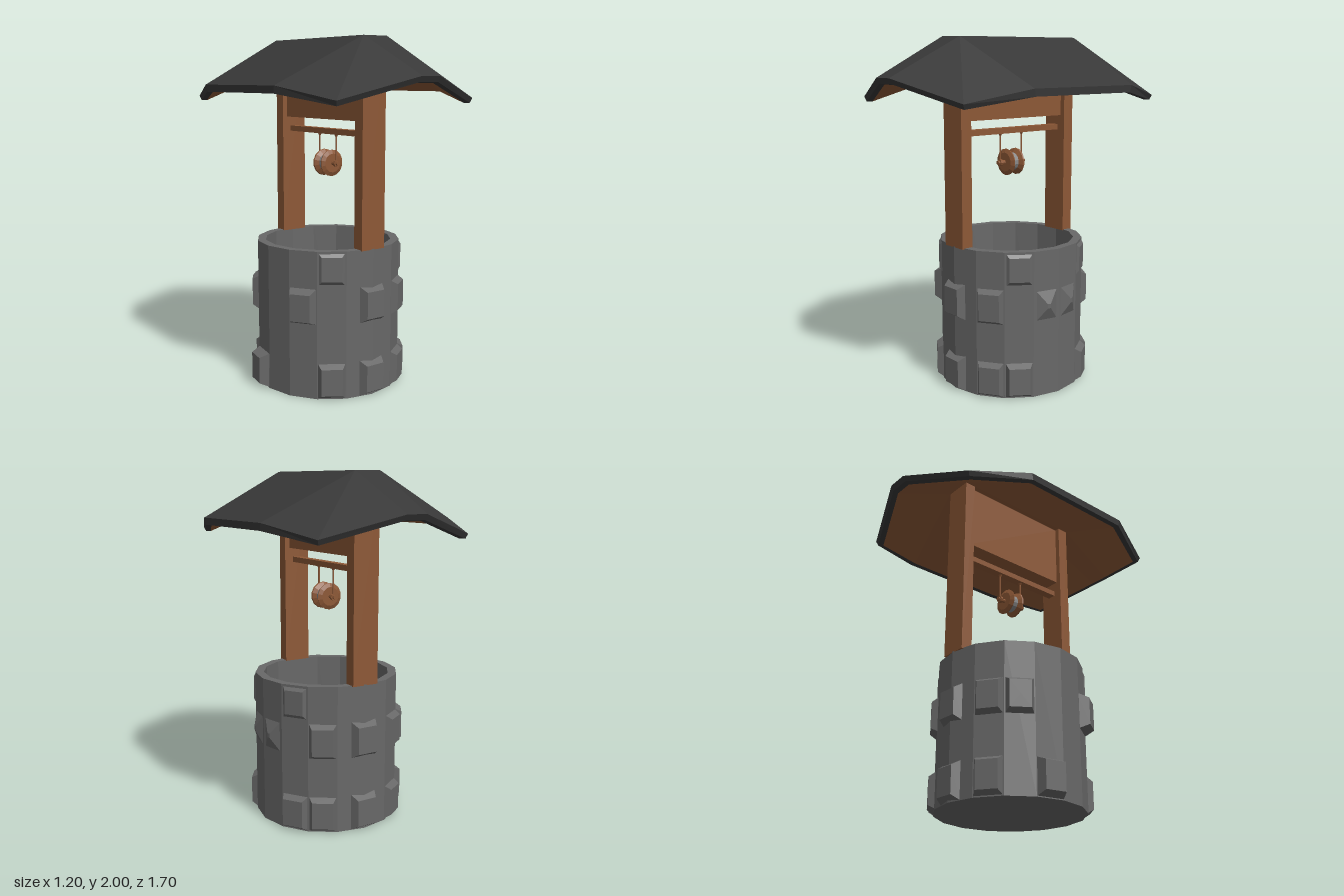
import * as THREE from 'three';

const mat = (color) => new THREE.MeshStandardMaterial({ color, flatShading: true });
const RAD = Math.PI / 180;

export function createModel() {
  const model = new THREE.Group();
  const wood = mat(0x8d5836), stone = mat(0x686868), slate = mat(0x383838), rope = mat(0x8a8a8a);

  function add(parent, name, geometry, material, x = 0, y = 0, z = 0) {
    const mesh = new THREE.Mesh(geometry, material);
    mesh.name = name;
    mesh.position.set(x, y, z);
    parent.add(mesh);
    return mesh;
  }
  const box = (parent, name, w, h, d, x, y, z) =>
    add(parent, name, new THREE.BoxGeometry(w, h, d), wood, x, y, z);

  // Hollow round wall with 16 sides
  const well = new THREE.Group();
  well.name = 'stoneWell';
  model.add(well);
  const wallProfile = [[0, 0], [0.42, 0], [0.42, 0.845], [0.37, 0.845], [0.37, 0.03], [0, 0.03]]
    .map(([r, y]) => new THREE.Vector2(r, y));
  const wallMaterial = stone.clone();
  wallMaterial.side = THREE.DoubleSide;
  add(well, 'wall', new THREE.LatheGeometry(wallProfile, 16), wallMaterial);

  // Raised stones: tapered blocks standing out from the wall at an angle from the front
  function raisedStone(angle, y, depth = 0.036, width = 0.16, height = 0.208, taper = 0.74) {
    const base = 0.403, full = depth + 0.412 - base;
    const g = new THREE.CylinderGeometry(taper * Math.SQRT1_2, Math.SQRT1_2, 1, 4, 1);
    g.rotateY(Math.PI / 4).rotateX(Math.PI / 2).scale(width, height, full);
    g.translate(0, 0, base + full / 2).rotateY(angle * RAD);
    add(well, 'raisedStone', g, stone, 0, y, 0);
  }
  // Bottom course
  for (const a of [0, 33.75, 56.25, 123.75, 146.25, 180, 213.75, 258.75, 326.25]) {
    raisedStone(a, 0.106, a === 258.75 ? 0.055 : 0.036);
  }
  // Third course
  for (const a of [0, 33.75, 146.25, 180, 213.75, 236.25, 303.75]) {
    raisedStone(a, 0.532, a === 303.75 ? 0.055 : 0.036);
  }
  // Pointed stones and shallow chipped stones
  for (const a of [78.75, 101.25]) raisedStone(a, 0.532, 0.03, 0.16, 0.208, 0.12);
  for (const a of [56.25, 123.75, 326.25]) raisedStone(a, 0.745, 0.014, 0.16, 0.195, 0.7);

  // Wooden frame
  const frame = new THREE.Group();
  frame.name = 'frame';
  model.add(frame);
  for (const s of [1, -1]) box(frame, 'post', 0.16, 1.11, 0.068, 0, 1.395, s * 0.384);
  box(frame, 'ridgeBoard', 0.1, 0.4, 0.71, 0, 1.745, 0);
  box(frame, 'crossBeam', 0.05, 0.032, 0.71, 0, 1.474, 0);

  // Pulley hanging from the cross beam
  const pulley = new THREE.Group();
  pulley.name = 'pulley';
  pulley.position.y = 1.29;
  model.add(pulley);
  const wheelProfile = [[0, -0.048], [0.055, -0.048], [0.078, -0.038], [0.076, -0.03], [0.045, -0.012],
    [0.045, 0.012], [0.076, 0.03], [0.078, 0.038], [0.055, 0.048], [0, 0.048]]
    .map(([r, t]) => new THREE.Vector2(r, t));
  add(pulley, 'wheel', new THREE.LatheGeometry(wheelProfile, 14).rotateX(Math.PI / 2), wood);
  add(pulley, 'rope', new THREE.CylinderGeometry(0.052, 0.052, 0.032, 14).rotateX(Math.PI / 2), rope);
  add(pulley, 'axle', new THREE.CylinderGeometry(0.012, 0.012, 0.2, 8).rotateX(Math.PI / 2), wood);
  for (const s of [1, -1]) {
    add(pulley, 'hanger', new THREE.CylinderGeometry(0.005, 0.005, 0.17, 6), wood, 0, 0.085, s * 0.08);
    add(pulley, 'axleCollar', new THREE.CylinderGeometry(0.02, 0.02, 0.016, 8).rotateX(Math.PI / 2),
      wood, 0, 0, s * 0.08);
    add(pulley, 'hangerFoot', new THREE.CylinderGeometry(0.012, 0.006, 0.012, 6), wood, 0, 0.162, s * 0.08);
  }

  // Roof: rings of 12 points, each mirrored from one quarter (end, corner, side)
  function ring(end, corner, side) {
    const q = [end, corner, side];
    const back = q.map(([x, y, z]) => [x, y, -z]).reverse();
    const half = [...q, ...back];
    return [...half, ...half.map(([x, y, z]) => [-x, y, z]).reverse()];
  }
  const point = (x, y, z) => ring([x, y, z], [x, y, z], [x, y, z]);

  // Joins successive rings with quads, leaving out collapsed triangles
  function loft(rings) {
    const pos = [];
    const tri = (a, b, c) => {
      const [A, B, C] = [a, b, c].map((p) => new THREE.Vector3(...p));
      if (B.sub(A).cross(C.sub(A)).length() > 1e-7) pos.push(...a, ...b, ...c);
    };
    for (let r = 0; r < rings.length - 1; r++) {
      const p = rings[r], q = rings[r + 1];
      for (let i = 0; i < p.length; i++) {
        const j = (i + 1) % p.length;
        tri(p[i], q[i], q[j]);
        tri(p[i], q[j], p[j]);
      }
    }
    const g = new THREE.BufferGeometry();
    g.setAttribute('position', new THREE.Float32BufferAttribute(pos, 3));
    g.computeVertexNormals();
    return g;
  }
  const rimTop = ring([0.06, 1.787, 0.85], [0.465, 1.67, 0.69], [0.6, 1.74, 0.355]);
  const rimLow = ring([0.06, 1.757, 0.835], [0.455, 1.643, 0.68], [0.597, 1.7, 0.345]);
  const rimInner = ring([0.055, 1.752, 0.805], [0.435, 1.643, 0.655], [0.565, 1.7, 0.335]);
  const roof = new THREE.Group();
  roof.name = 'roof';
  model.add(roof);
  add(roof, 'roofCover', loft([point(0, 2, 0.42), point(0.08, 2, 0.42), rimTop, rimLow, rimInner]), slate);
  add(roof, 'roofLining', loft([rimInner, point(0.08, 1.94, 0.42), point(0, 1.94, 0.42)]), wood);

  return model;
}
